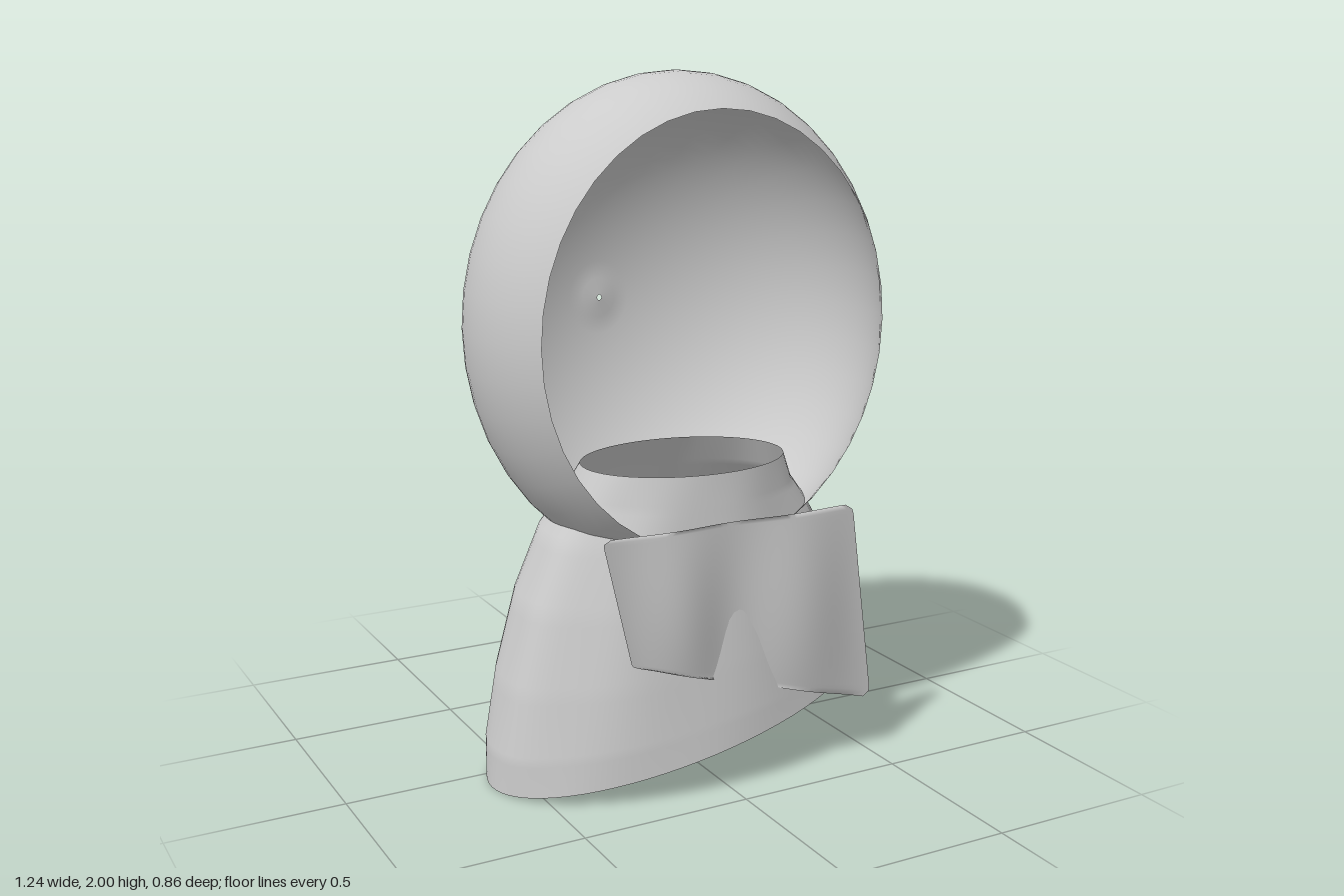
import * as THREE from 'three';
import { ParametricGeometry } from 'three/addons/geometries/ParametricGeometry.js';

const lerp = THREE.MathUtils.lerp;
const material = new THREE.MeshStandardMaterial({ color: 0xcccccc, side: THREE.DoubleSide });

// Thin sheet swept from a function of u and v
function sheet(name, fn, slices, stacks) {
  const mesh = new THREE.Mesh(new ParametricGeometry(fn, slices, stacks), material);
  mesh.name = name;
  return mesh;
}

// Hood: egg-shaped shell cut flat at the face, pinched to a tiny hole at the back
function hoodPoint(u, v, target) {
  const a = u * Math.PI * 2;
  const polar = lerp(0.012, 2.106, v);
  const r = Math.sin(polar);
  const ry = Math.sin(a) > 0 ? 0.7 : 0.71;
  const dent = 0.012 * Math.exp(-((polar / 0.07) ** 2));
  target.set(0.62 * r * Math.cos(a), 1.3 + ry * r * Math.sin(a), 0.08 - 0.51 * Math.cos(polar) + dent);
}

// Cape rings, top to hem: yRight, yLeft, xRight, xLeft, zFront, zBack
const rings = [
  [0.91, 0.91, -0.31, 0.31, 0.35, -0.10],
  [0.83, 0.83, -0.35, 0.35, 0.36, -0.15],
  [0.73, 0.75, -0.42, 0.42, 0.37, -0.20],
  [0.55, 0.60, -0.50, 0.51, 0.39, -0.225],
  [0.32, 0.45, -0.565, 0.56, 0.41, -0.24],
  [0.12, 0.32, -0.60, 0.59, 0.425, -0.25],
  [0.00, 0.26, -0.60, 0.60, 0.43, -0.25],
];

// Cape: open tube with a level collar, a slanted hem and soft folds
function capePoint(u, v, target) {
  const s = v * (rings.length - 1);
  const i = Math.min(Math.floor(s), rings.length - 2);
  const [y0, y1, x0, x1, zf, zb] = rings[i].map((n, k) => lerp(n, rings[i + 1][k], s - i));
  const a = u * Math.PI * 2;
  const fold = 1 - 0.012 * Math.sin(v * Math.PI) * (1 - Math.cos(9 * a));
  const cx = Math.cos(a) * fold;
  const sz = Math.sin(a) * fold;
  const side = (cx + 1) / 2;
  target.set(lerp(x0, x1, side), lerp(y0, y1, side), lerp(zb, zf, (sz + 1) / 2));
}

// Bib: skewed wavy cloth whose lower middle sinks into the cape
function bibPoint(u, v, target) {
  const k = Math.max(0, Math.abs(2 * v - 1) - 0.9) / 0.1;
  const inset = 0.025 * (1 - Math.sqrt(Math.max(0, 1 - k * k)));
  const x = lerp(lerp(-0.39, -0.30, v) + inset, lerp(0.41, 0.49, v) - inset, u);
  const y = lerp(0.78, lerp(0.40, 0.18, u), v);
  const wave = Math.sin(2 * Math.PI * (u + 0.07 * v * Math.sin(Math.PI * u))) ** 2;
  target.set(x, y, 0.393 + wave * (0.012 + 0.024 * Math.sin(Math.PI * Math.min(1, v * 0.85))));
}

export function createModel() {
  const group = new THREE.Group();
  group.name = 'hoodedCape';
  group.add(
    sheet('hood', hoodPoint, 40, 28),
    sheet('cape', capePoint, 72, 24),
    sheet('bib', bibPoint, 40, 40),
  );
  return group;
}
